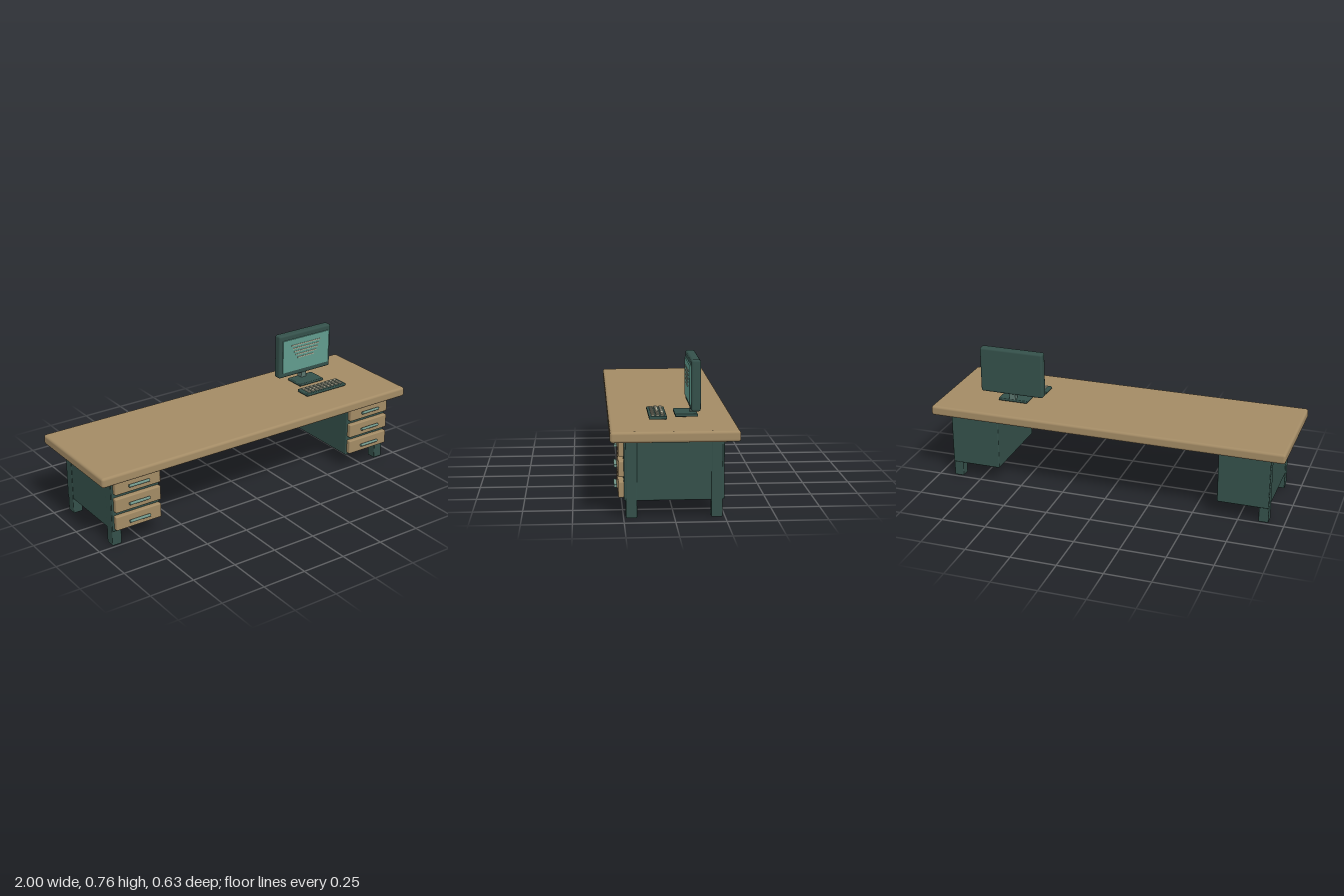
import * as THREE from 'three';
import { RoundedBoxGeometry } from 'three/addons/geometries/RoundedBoxGeometry.js';

const paint = (color) => new THREE.MeshStandardMaterial({ color });

export function createModel() {
  const wood = paint(0xa38b65);
  const dark = paint(0x34504a);
  const metal = paint(0x6f9488);
  const neckGrey = paint(0x5c766e);
  const glass = paint(0x619c8e);
  const pale = paint(0xb4b39c);

  // Box given by its [min, max] extents, with softened edges of radius r
  function block(parent, name, material, [x0, x1], [y0, y1], [z0, z1], r = 0) {
    const size = [x1 - x0, y1 - y0, z1 - z0];
    const geometry = r ? new RoundedBoxGeometry(...size, 2, r) : new THREE.BoxGeometry(...size);
    const mesh = new THREE.Mesh(geometry, material);
    mesh.name = name;
    mesh.position.set((x0 + x1) / 2, (y0 + y1) / 2, (z0 + z1) / 2);
    parent.add(mesh);
    return mesh;
  }
  function group(parent, name) {
    const g = new THREE.Group();
    g.name = name;
    parent.add(g);
    return g;
  }

  const desk = new THREE.Group();
  desk.name = 'desk';
  block(desk, 'tabletop', wood, [-1, 1], [0.393, 0.448], [-0.315, 0.317], 0.014);

  // Drawer pedestals, mirrored left and right
  for (const side of [-1, 1]) {
    const pedestal = group(desk, side > 0 ? 'leftPedestal' : 'rightPedestal');
    const span = (a, b) => (side > 0 ? [a, b] : [-b, -a]);
    block(pedestal, 'cabinet', dark, span(0.631, 0.912), [0.087, 0.385], [-0.246, 0.248], 0.006);
    block(pedestal, 'frontLeg', dark, span(0.859, 0.914), [0, 0.396], [0.183, 0.239], 0.005);
    block(pedestal, 'backLeg', dark, span(0.859, 0.914), [0, 0.396], [-0.237, -0.181], 0.005);

    for (let i = 0; i < 3; i++) {
      const y = 0.143 + i * 0.1025;
      block(pedestal, 'drawerFront', wood, span(0.636, 0.907), [y - 0.04, y + 0.04], [0.247, 0.276], 0.006);
      const handle = new THREE.Mesh(new THREE.CylinderGeometry(0.008, 0.008, 0.12, 16), metal);
      handle.name = 'drawerHandle';
      handle.rotation.z = Math.PI / 2;
      handle.position.set(side * 0.7715, y, 0.287);
      pedestal.add(handle);
    }
  }

  // Monitor on its stand
  const monitor = group(desk, 'monitor');
  block(monitor, 'casing', dark, [0.4, 0.77], [0.5, 0.76], [-0.141, -0.092], 0.012);
  block(monitor, 'screen', glass, [0.422, 0.748], [0.532, 0.728], [-0.093, -0.086]);
  block(monitor, 'neck', neckGrey, [0.567, 0.602], [0.465, 0.505], [-0.134, -0.1]);
  block(monitor, 'standBase', dark, [0.497, 0.668], [0.455, 0.47], [-0.136, -0.02], 0.005);

  // Thin bars across the screen, narrowing downwards
  [0.21, 0.19, 0.17, 0.15, 0.12].forEach((width, i) => {
    const y = 0.69 - i * 0.02;
    block(monitor, 'screenBar', pale, [0.585 - width / 2, 0.585 + width / 2], [y - 0.003, y + 0.003], [-0.087, -0.083]);
  });

  // Keyboard with a grid of keys
  const keyboard = group(desk, 'keyboard');
  block(keyboard, 'keyboardBody', dark, [0.444, 0.726], [0.454, 0.47], [0.024, 0.115], 0.005);
  for (let row = 0; row < 3; row++) {
    for (let col = 0; col < 9; col++) {
      const x = 0.4735 + col * 0.028;
      const z = 0.045 + row * 0.0245;
      block(keyboard, 'key', pale, [x - 0.009, x + 0.009], [0.469, 0.477], [z - 0.009, z + 0.009], 0.002);
    }
  }

  return desk;
}
